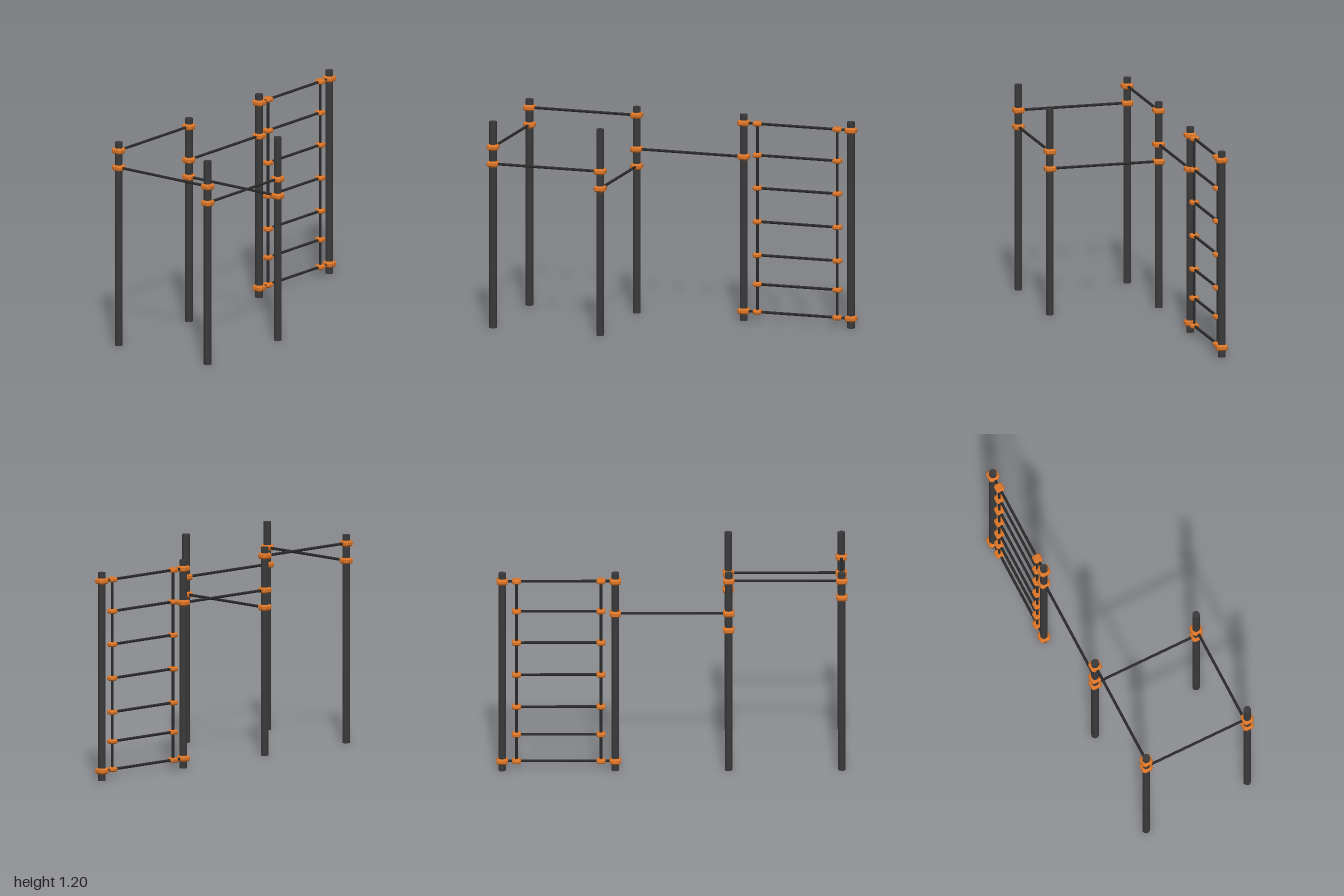
import * as THREE from 'three';

const S = 0.322;              // half the post spacing
const X = [-3 * S, -S, S, 3 * S];
const BACK = -S, FRONT = S;
const HEIGHT = 1.2;

const postMat = new THREE.MeshStandardMaterial({ color: 0x3a3a3a, flatShading: true });
const barMat = new THREE.MeshStandardMaterial({ color: 0x2a2a2a, flatShading: true });
const clampMat = new THREE.MeshStandardMaterial({ color: 0xdb7528, flatShading: true });

// Square block with cut corners and bevelled rims, centred on the origin
function clampGeometry(width, height, cut, bevel) {
  const h = width / 2 - bevel, c = h - cut;
  const shape = new THREE.Shape([
    [h, -c], [h, c], [c, h], [-c, h], [-h, c], [-h, -c], [-c, -h], [c, -h],
  ].map(([x, y]) => new THREE.Vector2(x, y)));
  const depth = height - 2 * bevel;
  const geo = new THREE.ExtrudeGeometry(shape, {
    depth, bevelEnabled: true, bevelSize: bevel, bevelThickness: bevel, bevelSegments: 1,
  });
  return geo.translate(0, 0, -depth / 2).rotateX(-Math.PI / 2);
}

const postClampGeo = clampGeometry(0.066, 0.034, 0.007, 0.009);
const ladderClampGeo = clampGeometry(0.052, 0.026, 0.006, 0.007);

export function createModel() {
  const model = new THREE.Group();
  model.name = 'climbingFrame';

  function add(name, geo, mat, x, y, z, parent = model) {
    const mesh = new THREE.Mesh(geo, mat);
    mesh.name = name;
    mesh.position.set(x, y, z);
    parent.add(mesh);
    return mesh;
  }

  // Straight round bar between two points
  function addBar(name, a, b, parent = model) {
    const from = new THREE.Vector3(...a), to = new THREE.Vector3(...b);
    const dir = to.clone().sub(from);
    const geo = new THREE.CylinderGeometry(0.008, 0.008, dir.length(), 8);
    const mid = from.add(to).multiplyScalar(0.5);
    const bar = add(name, geo, barMat, mid.x, mid.y, mid.z, parent);
    bar.quaternion.setFromUnitVectors(new THREE.Vector3(0, 1, 0), dir.normalize());
  }

  // Posts with the heights of their clamps
  const posts = [
    [X[0], FRONT, [1.05, 0.953]],
    [X[1], FRONT, [0.953, 0.853]],
    [X[0], BACK, [1.15, 1.05]],
    [X[1], BACK, [1.15, 0.953, 0.853]],
    [X[2], BACK, [1.15, 0.953, 0.056]],
    [X[3], BACK, [1.15, 0.056]],
  ];
  const postGeo = new THREE.CylinderGeometry(0.022, 0.022, HEIGHT, 10);
  for (const [x, z, clamps] of posts) {
    add('post', postGeo, postMat, x, HEIGHT / 2, z);
    for (const y of clamps) add('postClamp', postClampGeo, clampMat, x, y, z);
  }

  // Pull-up bars at different heights
  addBar('frontBar', [X[0], 0.953, FRONT], [X[1], 0.953, FRONT]);
  addBar('backBar', [X[0], 1.15, BACK], [X[1], 1.15, BACK]);
  addBar('outerSideBar', [X[0], 1.05, BACK], [X[0], 1.05, FRONT]);
  addBar('innerSideBar', [X[1], 0.853, BACK], [X[1], 0.853, FRONT]);
  addBar('linkBar', [X[1], 0.953, BACK], [X[2], 0.953, BACK]);

  // Wall ladder: end rungs reach the posts, the others span the two rails
  const ladder = new THREE.Group();
  ladder.name = 'ladder';
  model.add(ladder);
  const rails = [2 * S - 0.24, 2 * S + 0.24];
  const rungs = [0.056, 0.217, 0.386, 0.581, 0.776, 0.967, 1.15];
  const last = rungs.length - 1;
  rungs.forEach((y, i) => {
    const [x0, x1] = i === 0 || i === last ? [X[2], X[3]] : rails;
    addBar('rung', [x0, y, BACK], [x1, y, BACK], ladder);
    for (const x of rails) add('ladderClamp', ladderClampGeo, clampMat, x, y, BACK, ladder);
  });
  for (const x of rails) addBar('ladderRail', [x, rungs[0], BACK], [x, rungs[last], BACK], ladder);

  return model;
}
